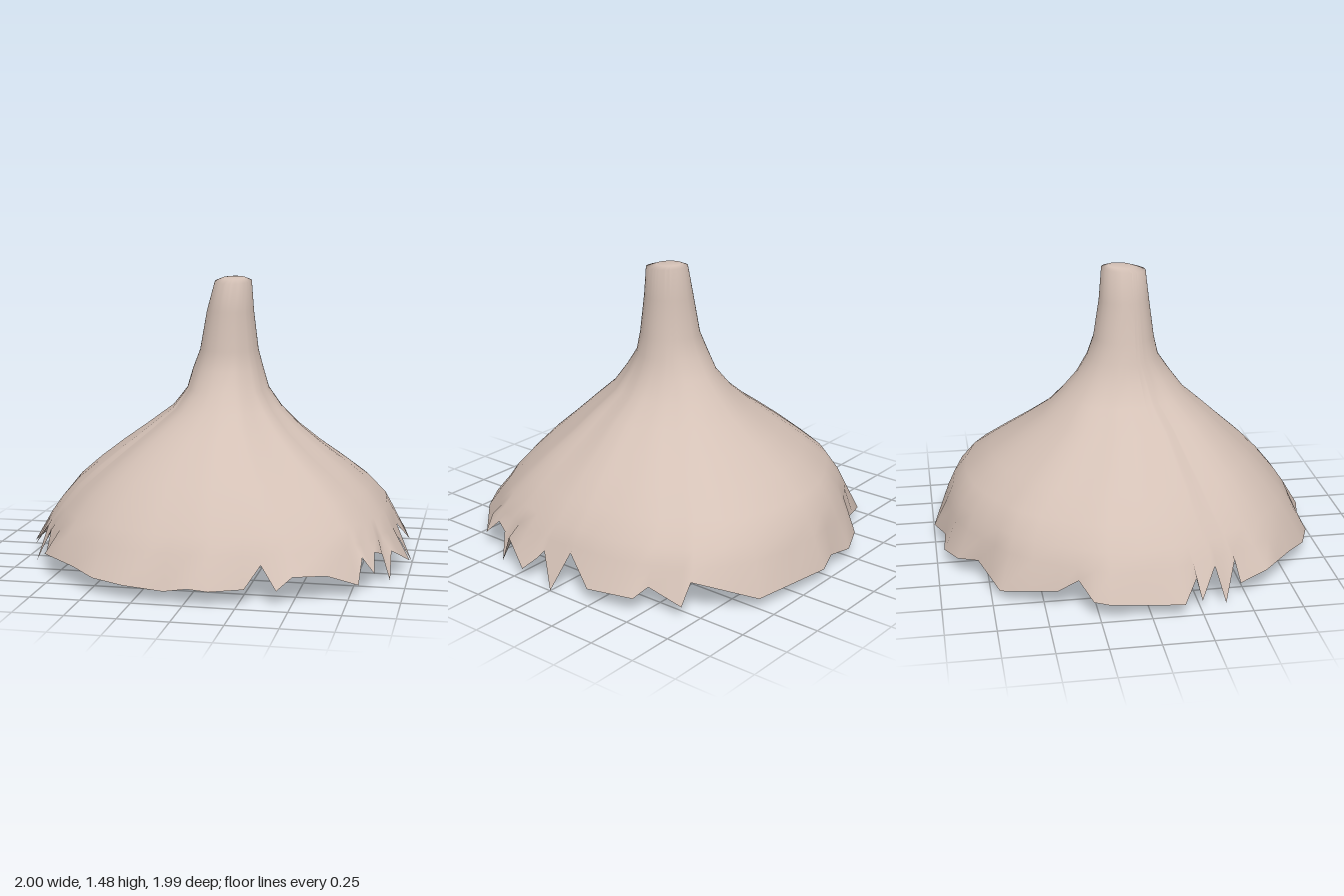
import * as THREE from 'three';

// Torn hem, going round from +x through the front (+z): x, y, z
const HEM = [
  [1, 0, 0], [0.93, 0.16, 0.1], [0.95, 0.12, 0.13], [1, 0.06, 0.19],
  [0.92, 0.15, 0.36], [0.92, 0.01, 0.41], [0.88, 0.15, 0.43], [0.85, 0.175, 0.5],
  [0.86, 0.09, 0.59], [0.8, 0.17, 0.6], [0.79, 0.05, 0.66], [0.65, 0.12, 0.78],
  [0.5, 0.13, 0.87], [0.43, 0.07, 0.91], [0.35, 0.18, 0.87], [0.28, 0.075, 0.93],
  [0.12, 0.07, 0.985], [0.02, 0.08, 0.99], [-0.1, 0.055, 0.965], [-0.3, 0.07, 0.955],
  [-0.47, 0.08, 0.89], [-0.6, 0.1, 0.78], [-0.8, 0.11, 0.61], [-0.84, 0.07, 0.47],
  [-0.82, 0.19, 0.44], [-0.92, 0.01, 0.38], [-0.87, 0.19, 0.33], [-0.97, 0.06, 0.25],
  [-0.91, 0.15, 0.23], [-1, 0.06, 0.16], [-0.985, 0.08, -0.2], [-0.96, 0.09, -0.28],
  [-0.86, 0.16, -0.34], [-0.84, 0.1, -0.44], [-0.7, 0.05, -0.71], [-0.45, 0.1, -0.8],
  [-0.37, 0.08, -0.9], [-0.22, 0.06, -0.96], [-0.07, 0.08, -0.95], [0.07, 0.07, -1],
  [0.51, 0.06, -0.92], [0.75, 0.17, -0.69], [0.81, 0.06, -0.68], [0.84, 0.12, -0.5],
  [0.92, 0.08, -0.47], [0.97, 0.07, -0.22], [0.91, 0.19, -0.06],
];

// Elliptical cross-sections from the tip down: y, centre x, centre z, radius x, radius z
const SECTIONS = [
  [1.455, 0.053, 0.025, 0.095, 0.115],
  [1.3, 0.038, 0.025, 0.122, 0.13],
  [1.1, 0.032, 0.022, 0.152, 0.158],
  [1.0, 0.025, 0.015, 0.185, 0.187],
  [0.9, 0.025, 0.02, 0.215, 0.25],
  [0.8, 0.02, 0.015, 0.29, 0.33],
  [0.7, 0.005, 0.025, 0.41, 0.435],
  [0.6, -0.005, 0.01, 0.54, 0.56],
  [0.5, -0.005, -0.005, 0.67, 0.685],
  [0.4, -0.005, -0.025, 0.785, 0.8],
  [0.3, 0, -0.02, 0.87, 0.875],
  [0.22, -0.005, -0.01, 0.917, 0.92],
];

// Soft folds in the cloth: angle in degrees, depth, width in degrees
const FOLDS = [
  [20, 0.02, 9], [47, 0.03, 10], [100, 0.01, 12], [150, 0.03, 9], [168, 0.02, 7],
  [205, 0.015, 10], [245, 0.01, 12], [325, 0.025, 10], [345, 0.015, 8],
];

// Signed difference between two directions, in degrees
const turn = (a, b) => THREE.MathUtils.euclideanModulo(a - b + 180, 360) - 180;
const bell = (x, width) => Math.exp(-((x / width) ** 2));

function foldDepth(degrees, y) {
  let depth = 0;
  for (const [centre, amount, width] of FOLDS) depth += amount * bell(turn(degrees, centre), width);
  return depth * bell(y - 0.58, 0.24);
}

// Hem with its wide straight edges halved, so the shell above stays round
function subdividedHem() {
  const points = HEM.map((p) => new THREE.Vector3(...p));
  return points.flatMap((p, i) => {
    const next = points[(i + 1) % points.length];
    return p.distanceTo(next) > 0.2 ? [p, p.clone().lerp(next, 0.5)] : [p];
  });
}

// How far the shell bulges in one direction, from the hem points near it
function bulge(degrees, columns) {
  let sum = 0, total = 0;
  for (const { point, degrees: other } of columns) {
    const weight = bell(turn(degrees, other), 10);
    sum += weight * Math.hypot(point.x, point.z) / (1.02 - 0.45 * point.y);
    total += weight;
  }
  return sum / total;
}

function buildCap() {
  const columns = subdividedHem().map((point) => {
    const angle = Math.atan2(point.z, point.x);
    return { point, degrees: THREE.MathUtils.radToDeg(angle), cos: Math.cos(angle), sin: Math.sin(angle) };
  });
  for (const c of columns) c.bulge = bulge(c.degrees, columns);
  const n = columns.length;
  const positions = [0.05, 1.477, -0.01]; // rounded tip
  const indices = [];

  // Small inner ring rounds off the tip
  for (const { cos, sin } of columns) {
    positions.push(0.053 + 0.06 * cos, 1.47 - 0.005 * sin, 0.012 + 0.07 * sin);
  }
  // Folded rings down the shell
  for (const [y, cx, cz, rx, rz] of SECTIONS) {
    const blend = THREE.MathUtils.clamp((0.85 - y) / 0.6, 0, 1);
    const tilt = y > 1.4 ? 0.01 : 0;
    for (const c of columns) {
      const d = foldDepth(c.degrees, y);
      const scale = 1 + (c.bulge - 1) * blend;
      positions.push(cx + (rx * scale - d) * c.cos, y - tilt * c.sin, cz + (rz * scale - d) * c.sin);
    }
  }
  // Torn hem
  for (const { point } of columns) positions.push(point.x, point.y, point.z);

  const rings = SECTIONS.length + 2;
  for (let i = 0; i < n; i++) {
    const j = (i + 1) % n;
    indices.push(0, 1 + j, 1 + i);
    for (let r = 0; r < rings - 1; r++) {
      const a = 1 + r * n + i, b = 1 + r * n + j;
      indices.push(a, b, b + n, a, b + n, a + n);
    }
  }
  const geometry = new THREE.BufferGeometry();
  geometry.setAttribute('position', new THREE.Float32BufferAttribute(positions, 3));
  geometry.setIndex(indices);
  geometry.computeVertexNormals();
  return geometry;
}

export function createModel() {
  const group = new THREE.Group();
  group.name = 'tornCap';
  const beige = new THREE.MeshStandardMaterial({ color: 0xd4c1b6, side: THREE.DoubleSide });
  beige.name = 'dusty beige';
  const cap = new THREE.Mesh(buildCap(), beige);
  cap.name = 'capShell';
  group.add(cap);
  return group;
}
